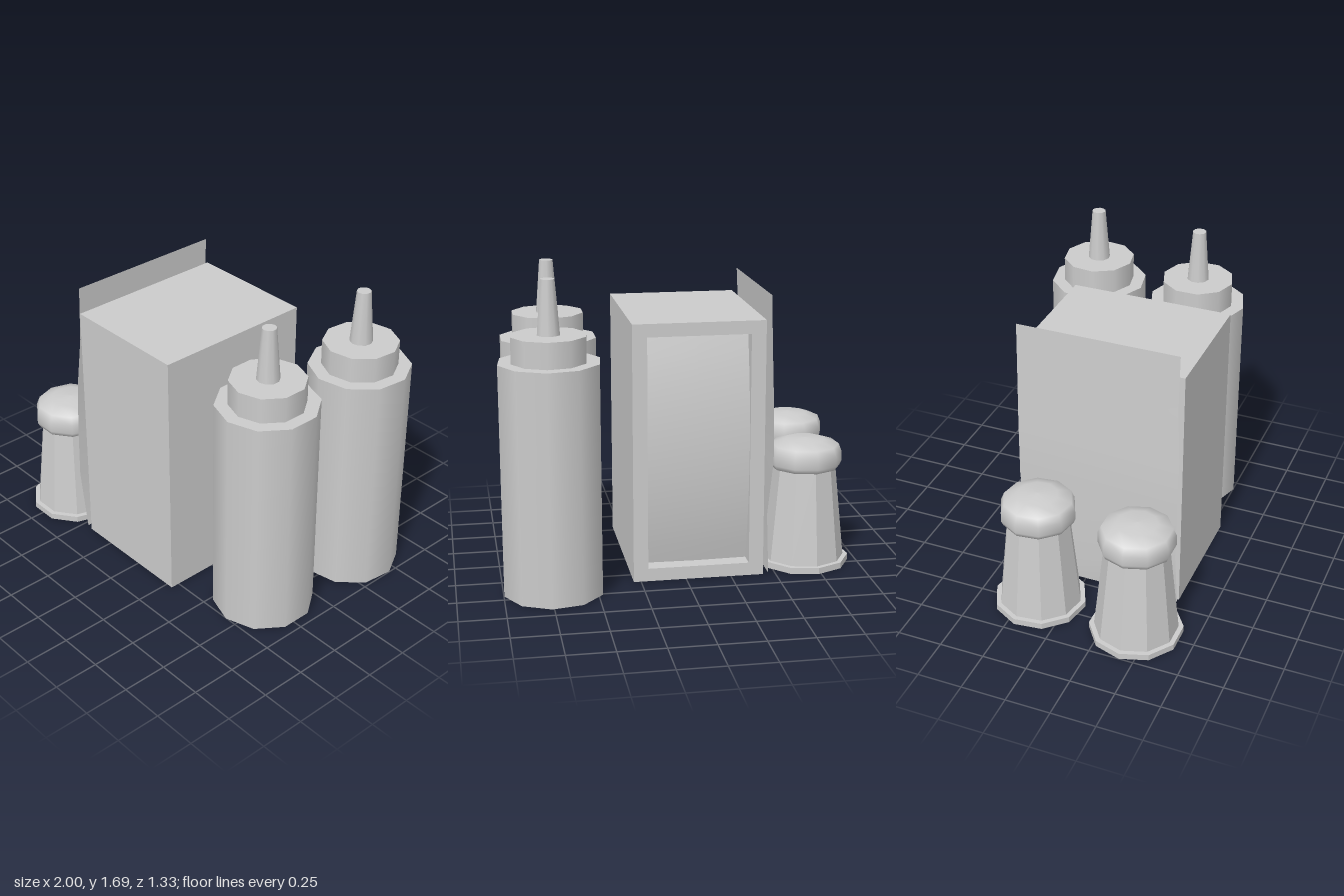
import * as THREE from 'three';

const SIDES = 10;
const smooth = new THREE.MeshStandardMaterial({ color: 0xcccccc });
const flat = new THREE.MeshStandardMaterial({ color: 0xcccccc, flatShading: true });
const thin = new THREE.MeshStandardMaterial({ color: 0xcccccc, side: THREE.DoubleSide });

function add(parent, name, geometry, material, x = 0, y = 0, z = 0) {
  const mesh = new THREE.Mesh(geometry, material);
  mesh.name = name;
  mesh.position.set(x, y, z);
  parent.add(mesh);
  return mesh;
}

// Ten-sided cylinder or cone section standing between two heights
function section(parent, name, rTop, rBottom, y0, y1, material, open = false) {
  const geometry = new THREE.CylinderGeometry(rTop, rBottom, y1 - y0, SIDES, 1, open);
  return add(parent, name, geometry, material, 0, (y0 + y1) / 2, 0);
}

// Squeeze bottle: body open underneath, shoulder, screw cap and nozzle
function bottle(x, z, turn) {
  const group = new THREE.Group();
  group.name = 'squeezeBottle';
  section(group, 'bottleBody', 0.275, 0.275, 0, 1.26, thin, true);
  const shoulder = new THREE.CircleGeometry(0.275, SIDES, Math.PI / 2).rotateX(-Math.PI / 2);
  add(group, 'bottleShoulder', shoulder, thin, 0, 1.26, 0);
  section(group, 'bottleCap', 0.203, 0.203, 1.26, 1.4, smooth);
  section(group, 'bottleNozzle', 0.038, 0.062, 1.4, 1.69, smooth);
  group.position.set(x, 0, z);
  group.rotation.y = turn;
  return group;
}

// Shaker: base disc, tapered faceted glass and domed lid
function shaker(x, z, turn) {
  const group = new THREE.Group();
  group.name = 'shaker';
  section(group, 'shakerBase', 0.255, 0.255, 0, 0.035, flat);
  section(group, 'shakerGlass', 0.172, 0.228, 0.035, 0.57, flat);
  const lid = [[0.165, 0.56], [0.195, 0.56], [0.206, 0.585], [0.206, 0.64],
    [0.188, 0.685], [0.11, 0.712], [0, 0.72]].map(([r, y]) => new THREE.Vector2(r, y));
  add(group, 'shakerLid', new THREE.LatheGeometry(lid, SIDES), smooth);
  group.position.set(x, 0, z);
  group.rotation.y = turn;
  return group;
}

// Napkin dispenser: solid box with a framed recess at the back
function dispenser() {
  const group = new THREE.Group();
  group.name = 'napkinDispenser';
  const w = 0.72, h = 1.43, rim = 0.08, depth = 0.11, zBack = -0.36, zFront = 0.55;
  const length = zFront - zBack - depth;
  add(group, 'dispenserBox', new THREE.BoxGeometry(w, h, length), smooth, 0, h / 2, zFront - length / 2);

  const rect = (path, x, y0, y1) =>
    path.moveTo(-x, y0).lineTo(x, y0).lineTo(x, y1).lineTo(-x, y1).closePath();
  const frame = rect(new THREE.Shape(), w / 2, 0, h);
  frame.holes.push(rect(new THREE.Path(), w / 2 - rim, rim * 0.9, h - rim * 0.9));
  add(group, 'dispenserFrame',
    new THREE.ExtrudeGeometry(frame, { depth, bevelEnabled: false }), smooth, 0, 0, zBack);

  // Napkins bow outward at mid height, with a faint fold down the middle
  const napkinH = h - rim * 1.8;
  const napkins = new THREE.PlaneGeometry(w - 2 * rim, napkinH, 2, 12).rotateY(Math.PI);
  const p = napkins.attributes.position;
  for (let i = 0; i < p.count; i++) {
    const t = p.getY(i) / (napkinH / 2);
    const fold = Math.abs(p.getX(i)) < 0.01 ? 0.008 : 0;
    p.setZ(i, zBack + 0.015 + 0.08 * t * t - fold);
  }
  napkins.computeVertexNormals();
  add(group, 'napkins', napkins, thin, 0, h / 2, 0);
  group.position.x = -0.07;
  return group;
}

// Menu card: thin upright sheet, warped towards its lower front corner
function menuCard() {
  // Rows of height, x at the front edge, x at the back edge
  const rows = [[0.01, -0.46, -0.458], [0.35, -0.512, -0.446], [0.65, -0.505, -0.478],
    [0.95, -0.488, -0.475], [1.25, -0.468, -0.464], [1.565, -0.454, -0.454]];
  const sheet = new THREE.PlaneGeometry(1, 1, 1, rows.length - 1);
  const p = sheet.attributes.position;
  rows.forEach(([y, xFront, xBack], j) => {
    const i = (rows.length - 1 - j) * 2;
    p.setXYZ(i, xBack, y, -0.37);
    p.setXYZ(i + 1, xFront, y, y > 1.2 ? 0.53 : 0.55);
  });
  sheet.computeVertexNormals();
  return sheet;
}

export function createModel() {
  const model = new THREE.Group();
  model.name = 'condimentSet';
  model.add(dispenser());
  add(model, 'menuCard', menuCard(), thin);
  model.add(bottle(0.728, -0.398, -0.12), bottle(0.683, 0.228, 0));
  model.add(shaker(-0.745, 0.42, Math.PI / 10), shaker(-0.705, -0.16, 0.12));
  return model;
}
